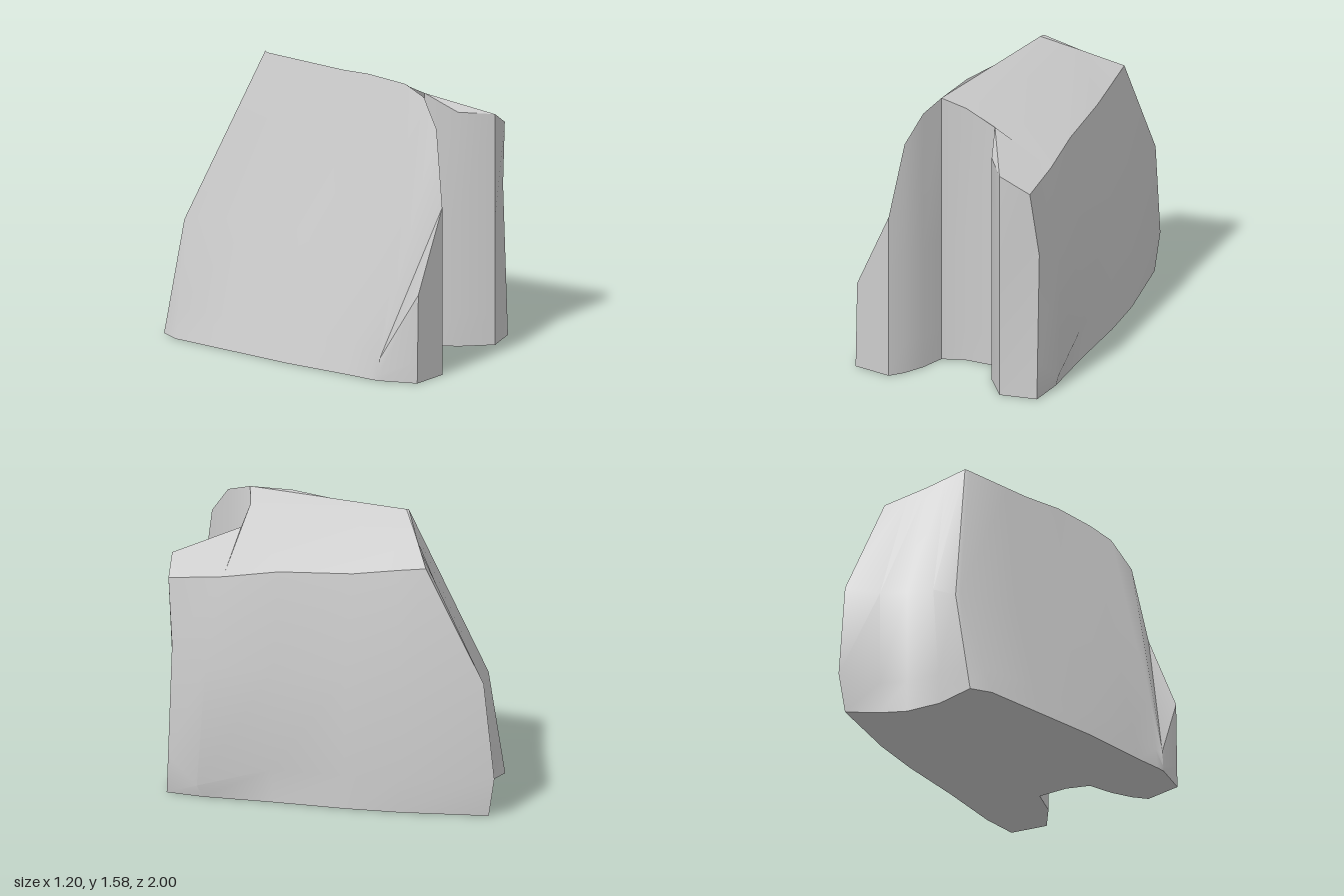
import * as THREE from 'three';
import { toCreasedNormals } from 'three/addons/utils/BufferGeometryUtils.js';

// Three outlines, counterclockwise from above, starting at the front spur.
// Foot outline [x, z] on the ground
const foot = [
  [-0.47, 1], [-0.25, 1], [-0.2, 0.92], [-0.16, 0.8], [-0.14, 0.655],
  [-0.02, 0.59], [0.15, 0.56], [0.24, 0.72], [0.39, 0.86], [0.59, 0.79],
  [0.57, 0.58], [0.48, 0.2], [0.4, -0.2], [0.32, -0.5], [0.15, -0.96],
  [0.02, -0.82], [-0.1, -0.73], [-0.3, -0.68], [-0.55, -0.7], [-0.6, -0.58],
  [-0.6, -0.2], [-0.6, 0.2], [-0.57, 0.6], [-0.565, 0.75], [-0.56, 0.8],
];

// Crown outline [x, y, z]: spur tip, recess, right edge, back edge, ridge
const crown = [
  [-0.25, 0.95, 1], [-0.25, 0.95, 1], [-0.2, 1.37, 0.92], [-0.16, 1.52, 0.8], [-0.14, 1.565, 0.655],
  [-0.02, 1.51, 0.59], [0.15, 1.43, 0.56], [0.24, 1.33, 0.72], [0.39, 1.31, 0.86], [0.55, 1.22, 0.8],
  [0.48, 1.25, 0.5], [0.4, 1.3, 0.2], [0.3, 1.32, -0.2], [0.24, 1.36, -0.45], [0.2, 1.38, -0.6],
  [0.1, 1.43, -0.52], [0.02, 1.48, -0.45], [-0.06, 1.53, -0.385], [-0.14, 1.58, -0.32], [-0.15, 1.575, -0.3],
  [-0.15, 1.56, 0], [-0.15, 1.58, 0.4], [-0.14, 1.565, 0.655], [-0.16, 1.52, 0.8], [-0.2, 1.37, 0.92],
];

// Waist [x, y, z] where it is not simply straight above the foot
const waist = {
  0: [-0.46, 0.5, 1], 1: [-0.25, 0.5, 1], 9: [0.585, 0.85, 0.76], 10: [0.575, 0.75, 0.56],
  11: [0.47, 0.75, 0.2], 12: [0.385, 0.75, -0.2], 13: [0.31, 0.75, -0.5], 14: [0.17, 0.76, -0.94],
  17: [-0.25, 0.7, -0.68], 18: [-0.41, 0.62, -0.67], 19: [-0.415, 0.64, -0.64],
  20: [-0.4, 0.7, -0.2], 21: [-0.4, 0.7, 0.2], 22: [-0.4, 0.7, 0.6],
  23: [-0.45, 0.5, 0.8], 24: [-0.55, 0.12, 0.8],
};

// Bulges just above the ground on the two right-hand corners
const knee = { 10: [0.6, 0.07, 0.6], 14: [0.16, 0.22, -1] };

export function createModel() {
  const group = new THREE.Group();
  const columns = foot.map(([x, z], i) => {
    const base = new THREE.Vector3(x, 0, z);
    const middle = new THREE.Vector3(...(waist[i] || [x, 0.72, z]));
    const low = knee[i] ? new THREE.Vector3(...knee[i]) : base.clone().lerp(middle, 0.25);
    return [base, low, middle, new THREE.Vector3(...crown[i])];
  });

  const positions = [];
  const triangle = (a, b, c) => {
    const area = b.clone().sub(a).cross(c.clone().sub(a)).length();
    if (area > 1e-6) for (const p of [a, b, c]) positions.push(p.x, p.y, p.z);
  };

  // Side walls
  columns.forEach((a, i) => {
    const b = columns[(i + 1) % columns.length];
    for (let k = 0; k < 3; k++) {
      triangle(a[k], b[k], b[k + 1]);
      triangle(a[k], b[k + 1], a[k + 1]);
    }
  });

  // Sloping top and flat underside
  const cap = (points, up) => {
    const outline = points.map((p) => new THREE.Vector2(p.x, -p.z));
    for (const [a, b, c] of THREE.ShapeUtils.triangulateShape(outline, [])) {
      if (up) triangle(points[a], points[b], points[c]);
      else triangle(points[a], points[c], points[b]);
    }
  };
  cap(columns.slice(4, 22).map((c) => c[3]), true);
  cap(columns.map((c) => c[0]), false);

  const geometry = new THREE.BufferGeometry();
  geometry.setAttribute('position', new THREE.Float32BufferAttribute(positions, 3));
  const rock = new THREE.Mesh(
    toCreasedNormals(geometry, 0.5),
    new THREE.MeshStandardMaterial({ color: 0xcccccc }),
  );
  rock.name = 'rock';
  group.add(rock);
  return group;
}
